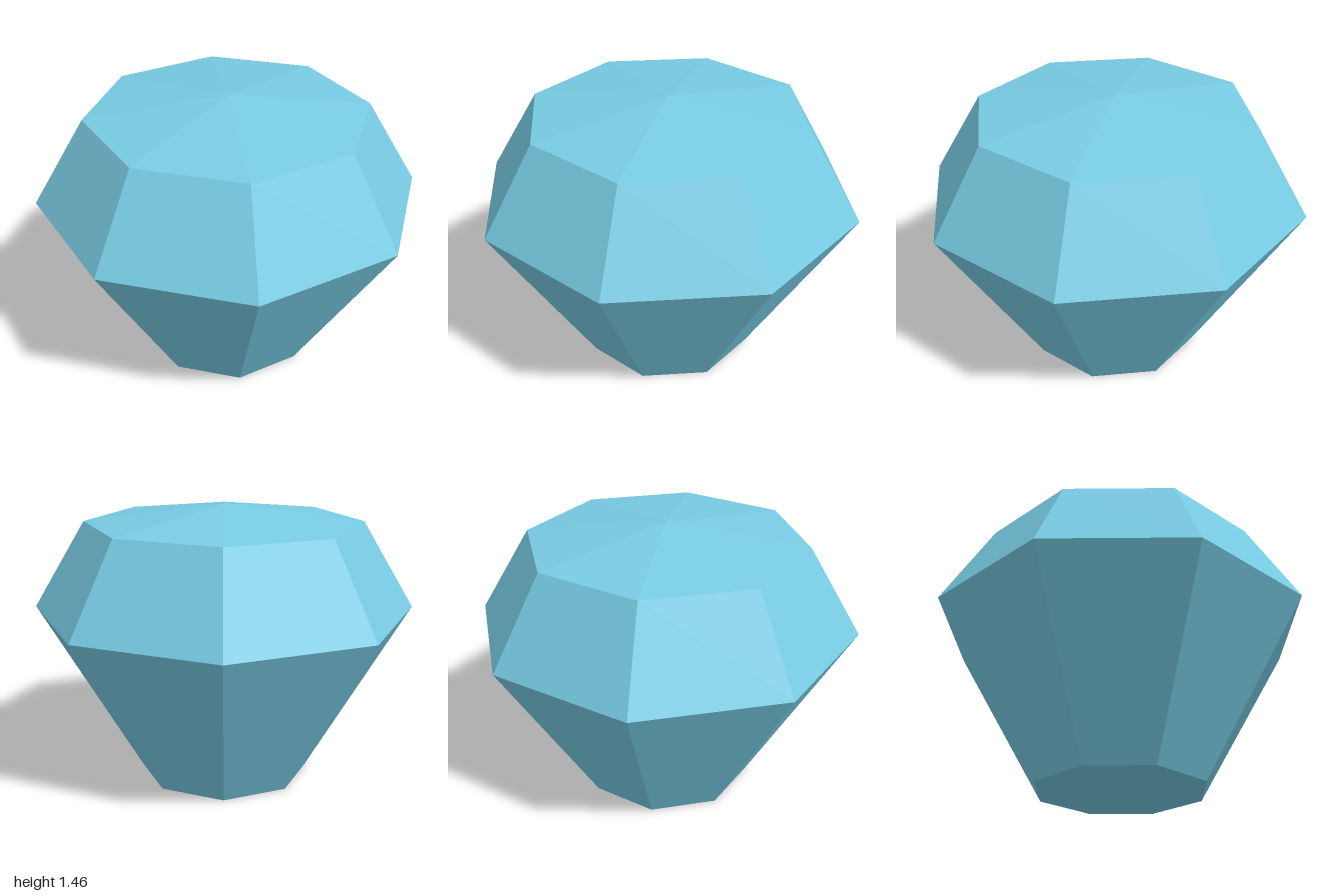
import * as THREE from 'three';

const SIDES = 8;

export function createModel() {
  const gem = new THREE.Group();
  gem.name = 'gem';

  const gemBlue = new THREE.MeshStandardMaterial({ color: 0x78cce4, flatShading: true });
  gemBlue.name = 'gemBlue';

  // One faceted ring or cap, from a profile of [radius, height] points, bottom to top
  function addFacets(name, profile) {
    const points = profile.map(([r, y]) => new THREE.Vector2(r, y));
    const geometry = new THREE.LatheGeometry(points, SIDES).toNonIndexed();
    geometry.computeVertexNormals();
    const mesh = new THREE.Mesh(geometry, gemBlue);
    mesh.name = name;
    gem.add(mesh);
  }

  addFacets('base', [[0, 0], [0.455, 0]]);
  addFacets('lowerFacets', [[0.455, 0], [1, 0.909]]);
  addFacets('upperFacets', [[1, 0.909], [0.727, 1.364]]);
  addFacets('shallowTop', [[0.727, 1.364], [0, 1.455]]);

  return gem;
}
